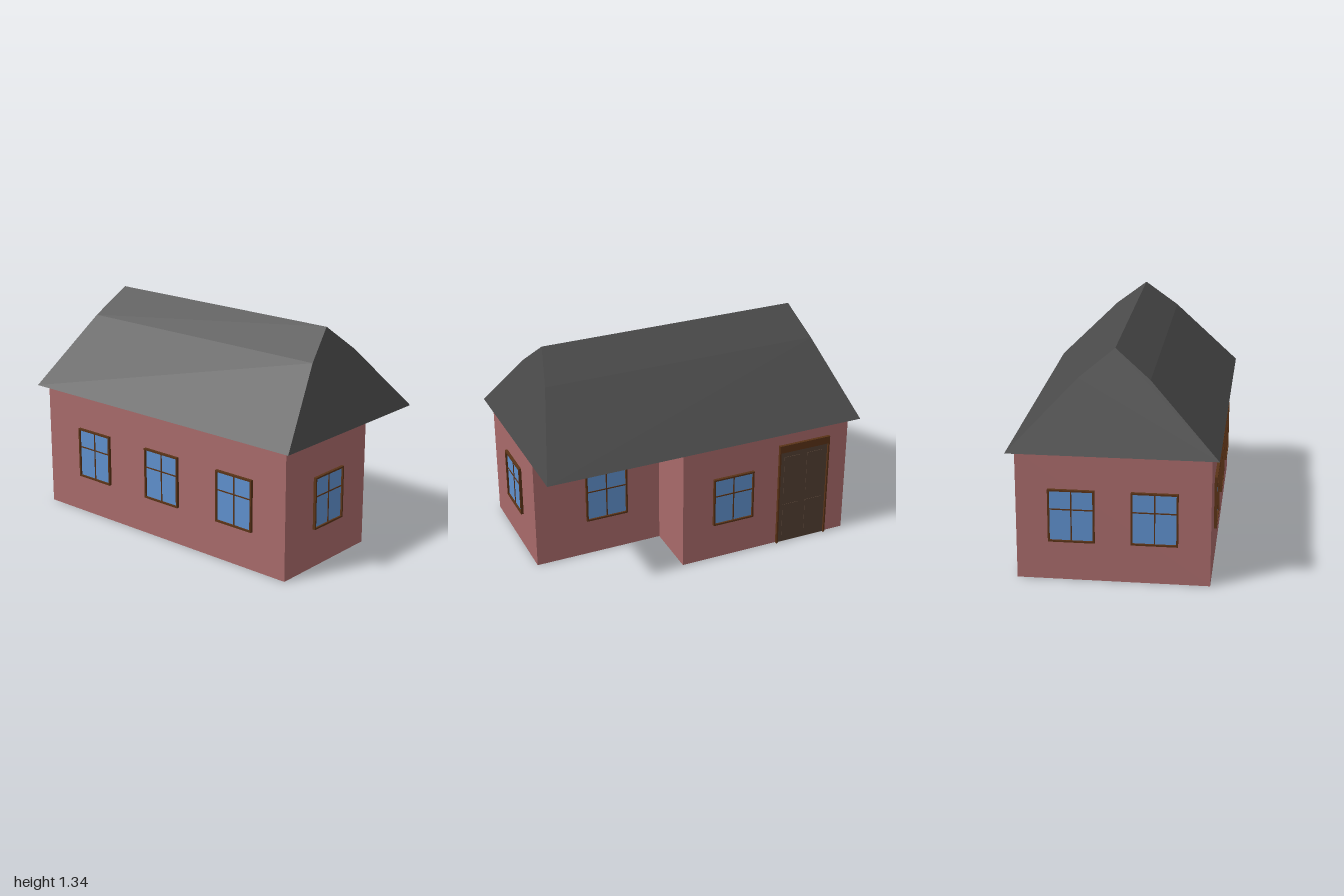
import * as THREE from 'three';

const mat = (color) => new THREE.MeshStandardMaterial({ color });
const brick = mat(0xa86a6a), slate = mat(0x4a4a4a), wood = mat(0x5a3317);
const glass = mat(0x5f90cc), doorWood = mat(0x534033);

const EAVES = 0.77, RIDGE = 1.335;

function box(parent, name, material, w, h, d, x, y, z) {
  const mesh = new THREE.Mesh(new THREE.BoxGeometry(w, h, d), material);
  mesh.name = name;
  mesh.position.set(x, y, z);
  parent.add(mesh);
}

// Four bars around an opening, standing on the z = 0 plane
function frame(parent, w, h, bar, top, depth) {
  for (const s of [-1, 1]) box(parent, 'frameSide', wood, bar, h, depth, s * (w - bar) / 2, h / 2, depth / 2);
  box(parent, 'frameTop', wood, w - 2 * bar, top, depth, 0, h - top / 2, depth / 2);
}

// Window facing +z with its base at y = 0
function makeWindow() {
  const g = new THREE.Group();
  g.name = 'window';
  const w = 0.265, h = 0.315, bar = 0.01, depth = 0.017;
  frame(g, w, h, bar, bar, depth);
  box(g, 'frameBottom', wood, w - 2 * bar, bar, depth, 0, bar / 2, depth / 2);
  box(g, 'glass', glass, w - 2 * bar, h - 2 * bar, 0.006, 0, h / 2, 0.003);
  box(g, 'mullion', wood, 0.007, h - 2 * bar, 0.01, 0, h / 2, 0.005);
  box(g, 'transom', wood, w - 2 * bar, 0.007, 0.0096, 0, 0.195, 0.0048);
  return g;
}

// Panelled door facing +z with its base at y = 0
function makeDoor() {
  const g = new THREE.Group();
  g.name = 'door';
  const w = 0.34, h = 0.68, bar = 0.01;
  frame(g, w, h, bar, 0.048, 0.018);
  box(g, 'doorLeaf', doorWood, w - 2 * bar, h - 0.048, 0.006, 0, (h - 0.048) / 2, 0.003);
  for (const s of [-1, 1]) {
    box(g, 'upperPanel', doorWood, 0.11, 0.26, 0.004, s * 0.077, 0.465, 0.007);
    box(g, 'lowerPanel', doorWood, 0.11, 0.22, 0.004, s * 0.077, 0.155, 0.007);
  }
  return g;
}

export function createModel() {
  const house = new THREE.Group();
  house.name = 'house';

  // L-shaped walls, drawn as a floor plan of (x, -z)
  const plan = new THREE.Shape([
    [-0.55, -0.955], [0.195, -0.955], [0.195, -0.155],
    [0.55, -0.155], [0.55, 0.94], [-0.55, 0.94],
  ].map(([x, y]) => new THREE.Vector2(x, y)));
  const walls = new THREE.Mesh(
    new THREE.ExtrudeGeometry(plan, { depth: EAVES, bevelEnabled: false }).rotateX(-Math.PI / 2), brick);
  walls.name = 'walls';
  house.add(walls);

  // Roof: bent gable profile whose ends lean inwards towards the ridge
  const gable = new THREE.Shape([
    [-0.592, EAVES], [0.592, EAVES], [0.2, 1.175], [0, RIDGE], [-0.2, 1.175],
  ].map(([x, y]) => new THREE.Vector2(x, y)));
  const roofGeo = new THREE.ExtrudeGeometry(gable, { depth: 2, bevelEnabled: false }).translate(0, 0, -1);
  const p = roofGeo.attributes.position;
  for (let i = 0; i < p.count; i++) {
    const lean = 0.2 * (p.getY(i) - EAVES) / (RIDGE - EAVES);
    p.setZ(i, Math.sign(p.getZ(i)) * (1 - lean));
  }
  roofGeo.computeVertexNormals();
  const roof = new THREE.Mesh(roofGeo, slate);
  roof.name = 'roof';
  house.add(roof);

  // Windows: x, z, turn about y
  const Q = Math.PI / 2;
  const spots = [
    [-0.164, 0.955, 0],
    [0.195, 0.502, Q], [0.55, -0.172, Q],
    [-0.235, -0.94, Math.PI], [0.235, -0.94, Math.PI],
    [-0.55, -0.535, -Q], [-0.55, 0.028, -Q], [-0.55, 0.59, -Q],
  ];
  for (const [x, z, turn] of spots) {
    const w = makeWindow();
    w.position.set(x, 0.235, z);
    w.rotation.y = turn;
    house.add(w);
  }

  const door = makeDoor();
  door.position.set(0.55, 0, -0.642);
  door.rotation.y = Q;
  house.add(door);

  return house;
}
